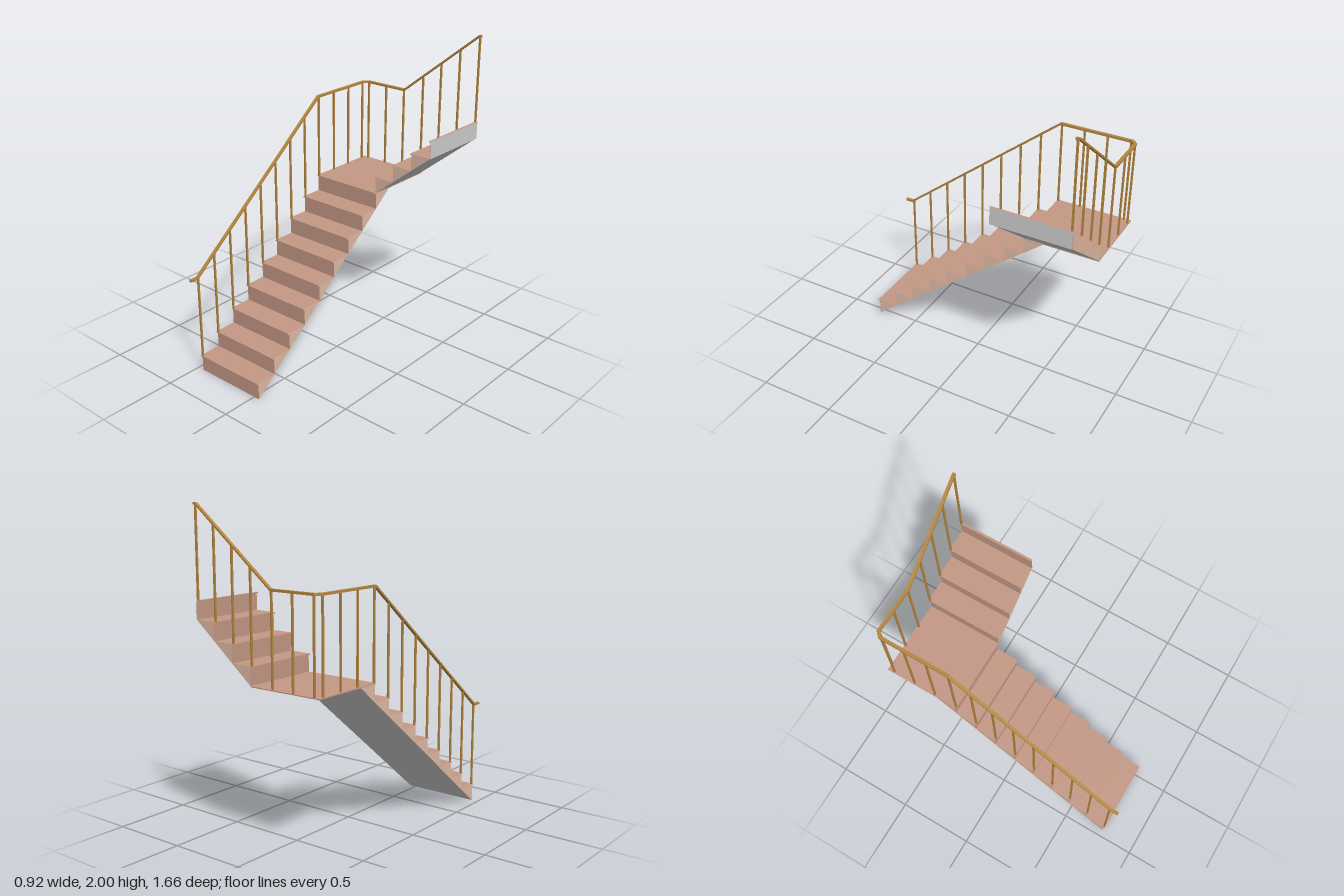
import * as THREE from 'three';

const RISE = 1 / 9, RUN = 0.138, NOSE = 0.011, LIP = 0.008;
const X0 = -0.457, X1 = 0.04, BACK = -0.829, FRONT = 0.764;
const WIDTH = X1 - X0;
const RAIL_X = -0.447, RAIL_Z = -0.82, RAIL_UP = 0.548;

const standard = (color) => new THREE.MeshStandardMaterial({ color, side: THREE.DoubleSide });
const brown = standard(0xc49885);
const tan = standard(0xdfbaa5);
const grey = standard(0xcccccc);
const wood = standard(0xb58640);

function mesh(name, geometry, material) {
  const m = new THREE.Mesh(geometry, material);
  m.name = name;
  return m;
}

// Flat-shaded geometry from a list of four-cornered faces
function quads(faces) {
  const pos = [];
  for (const [a, b, c, d] of faces) for (const p of [a, b, c, a, c, d]) pos.push(...p);
  const g = new THREE.BufferGeometry();
  g.setAttribute('position', new THREE.Float32BufferAttribute(pos, 3));
  g.computeVertexNormals();
  return g;
}

// Folded sheet: an (x, y) polyline drawn out from z = 0 to z = depth
function sheet(points, depth) {
  const faces = [];
  for (let i = 0; i + 1 < points.length; i++) {
    const [a, b] = [points[i], points[i + 1]];
    faces.push([[...a, depth], [...b, depth], [...b, 0], [...a, 0]]);
  }
  return quads(faces);
}

// Flight climbing along +x, with stepped top, triangular step ends and sloping underside
function flight(name, risers, fullSteps, endX, depth) {
  const group = new THREE.Group();
  group.name = name;
  const top = [[0, 0]];
  for (let i = 0; i < risers; i++) {
    const x = i * RUN, y = (i + 1) * RISE;
    const front = [[x, y - LIP], [x - NOSE, y - LIP], [x - NOSE, y]];
    top.push(...front, [i === risers - 1 ? endX : x + RUN, y]);
    if (i >= fullSteps) continue;
    const outline = [[x, i * RISE], ...front, [x + RUN, y]].map((p) => new THREE.Vector2(...p));
    for (const z of [0, depth]) {
      const end = mesh('stepEnd', new THREE.ShapeGeometry(new THREE.Shape(outline)), tan);
      end.position.z = z;
      group.add(end);
    }
  }
  group.add(mesh('treadsAndRisers', sheet(top, depth), brown));
  group.add(mesh('underside', sheet([[fullSteps * RUN, fullSteps * RISE], [0, 0]], depth), grey));
  return group;
}

// Handrail: upright rectangular sections, mitred in plan at each point of the path
function handrail(path, width, height) {
  const pts = path.map((p) => new THREE.Vector3(...p));
  const heading = (a, b) => new THREE.Vector3(b.x - a.x, 0, b.z - a.z).normalize();
  const last = pts.length - 1;
  const rings = pts.map((p, i) => {
    const d0 = heading(pts[Math.max(i - 1, 0)], pts[Math.max(i, 1)]);
    const d1 = heading(pts[Math.min(i, last - 1)], pts[Math.min(i + 1, last)]);
    const mid = d0.clone().add(d1).normalize();
    const half = width / 2 / mid.dot(d0);
    const sx = -mid.z * half, sz = mid.x * half, h = height / 2;
    return [[1, -h], [1, h], [-1, h], [-1, -h]].map(([s, y]) => [p.x + s * sx, p.y + y, p.z + s * sz]);
  });
  const faces = [rings[0], [...rings[last]].reverse()];
  for (let i = 0; i < last; i++) {
    for (let k = 0; k < 4; k++) {
      const n = (k + 1) % 4;
      faces.push([rings[i][k], rings[i + 1][k], rings[i + 1][n], rings[i][n]]);
    }
  }
  return quads(faces);
}

function baluster(x, z, bottom, top) {
  const b = mesh('baluster', new THREE.BoxGeometry(0.011, top - bottom, 0.011), wood);
  b.position.set(x, (top + bottom) / 2, z);
  return b;
}

export function createModel() {
  const model = new THREE.Group();
  model.name = 'staircase';

  // Lower flight climbs towards the back
  const lower = flight('lowerFlight', 9, 9, 8 * RUN, WIDTH);
  lower.rotation.y = Math.PI / 2;
  lower.position.set(X0, 0, FRONT);
  model.add(lower);

  // Landing: a thin board, brown with a grey underside
  const landingFront = FRONT - 8 * RUN;
  const depth = landingFront + NOSE - BACK;
  const landing = mesh('landing', new THREE.BoxGeometry(WIDTH, 0.006, landingFront - BACK),
    [brown, brown, brown, grey, brown, brown]);
  landing.position.set((X0 + X1) / 2, 0.997, (landingFront + BACK) / 2);
  model.add(landing);

  // Upper flight turns to the model's left and ends in a grey-backed riser
  const upper = flight('upperFlight', 4, 3, 3 * RUN + 0.004, depth);
  const backX = 3 * RUN + 0.004;
  upper.add(mesh('topRiserBack', sheet([[backX, 4 * RISE], [backX, 3 * RISE], [3 * RUN, 3 * RISE]], depth), grey));
  upper.position.set(X1, 1, BACK);
  model.add(upper);

  // Handrail along the outer edge
  const startZ = FRONT + NOSE, bendX = X1 - NOSE - RUN - 0.008, endX = X1 - NOSE + 3 * RUN;
  const landY = 1 + RAIL_UP, lowY = RISE + RAIL_UP, highY = 1 + 4 * RISE + RAIL_UP;
  model.add(mesh('handrail', handrail([
    [RAIL_X, lowY, 0.828], [RAIL_X, lowY, startZ],
    [RAIL_X, landY, landingFront + NOSE], [RAIL_X, landY, RAIL_Z + 0.028],
    [RAIL_X + 0.028, landY, RAIL_Z], [bendX, landY, RAIL_Z],
    [endX, highY, RAIL_Z], [endX + 0.014, highY, RAIL_Z],
  ], 0.02, 0.014), wood));

  // Balusters: one per step, and three more along each side of the landing
  const balusters = new THREE.Group();
  balusters.name = 'balusters';
  for (let i = 0; i < 9; i++) {
    const y = (i + 1) * RISE;
    balusters.add(baluster(RAIL_X, startZ - 0.007 - i * RUN, y, y + RAIL_UP));
  }
  for (let i = 0; i < 3; i++) {
    balusters.add(baluster(RAIL_X, -0.487 - i * 0.149, 1, landY));
    balusters.add(baluster(-0.417 + i * 0.149, RAIL_Z, 1, landY));
  }
  for (let i = 0; i < 4; i++) {
    const y = 1 + (i + 1) * RISE;
    balusters.add(baluster(X1 - NOSE + 0.005 + i * RUN, RAIL_Z, y, y + RAIL_UP));
  }
  model.add(balusters);
  return model;
}
